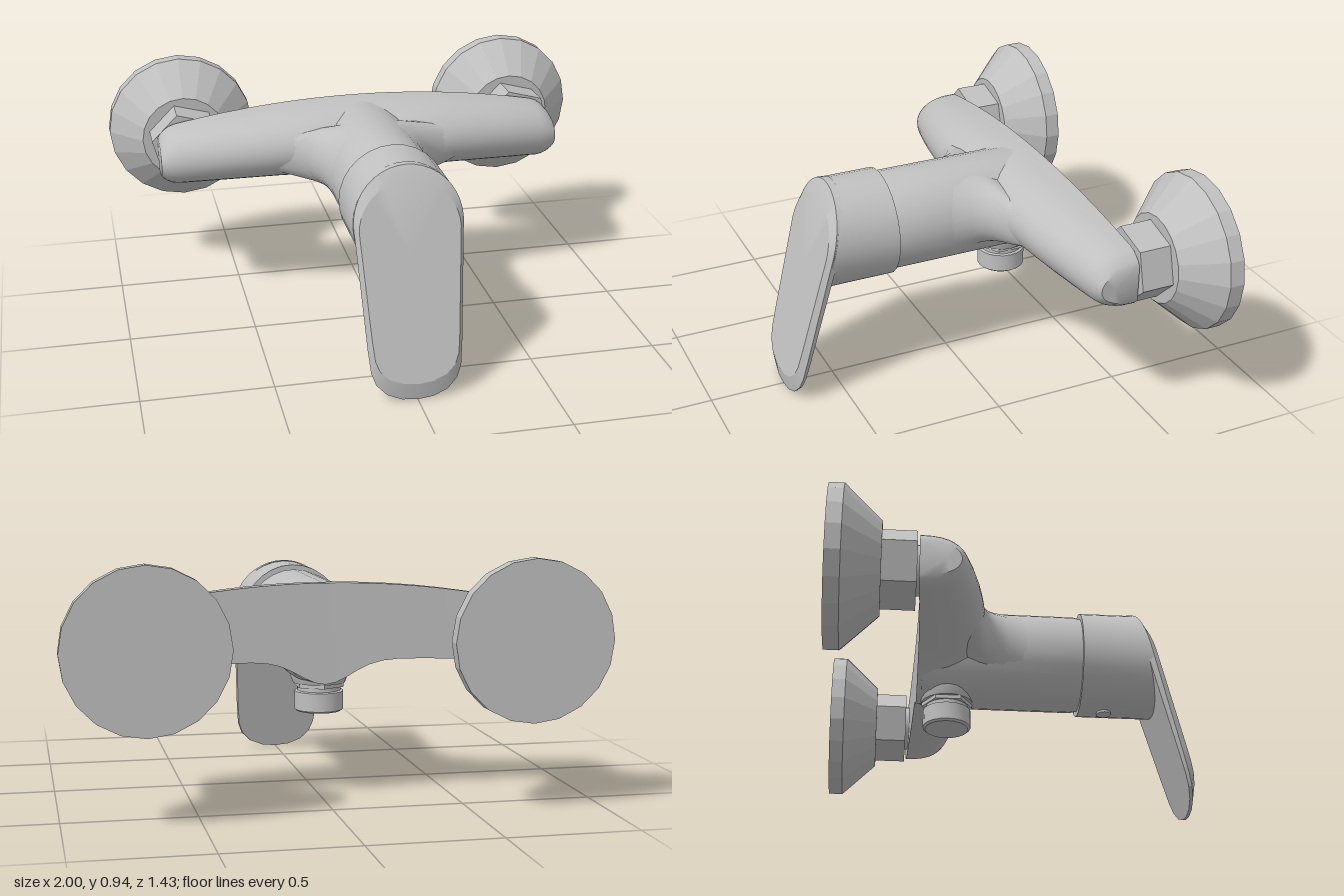
import * as THREE from 'three';
import { toCreasedNormals } from 'three/addons/utils/BufferGeometryUtils.js';

const chrome = new THREE.MeshStandardMaterial({ color: 0xc0c0c0 });
chrome.name = 'satin chrome';

// Skin over rings of points that run counter-clockwise about the direction of travel
function loft(rings, crease = 0.6) {
  const n = rings[0].length, pos = [], idx = [];
  rings.forEach(r => r.forEach(p => pos.push(...p)));
  for (let i = 0; i < rings.length - 1; i++)
    for (let j = 0; j < n; j++) {
      const a = i * n + j, b = i * n + (j + 1) % n;
      idx.push(a, b, b + n, a, b + n, a + n);
    }
  [0, rings.length - 1].forEach((k, end) => {
    const c = pos.length / 3;
    for (let m = 0; m < 3; m++) pos.push(rings[k].reduce((s, p) => s + p[m], 0) / n);
    for (let j = 0; j < n; j++) {
      const a = k * n + j, b = k * n + (j + 1) % n;
      if (end) idx.push(c, a, b); else idx.push(c, b, a);
    }
  });
  const g = new THREE.BufferGeometry();
  g.setAttribute('position', new THREE.Float32BufferAttribute(pos, 3));
  g.setIndex(idx);
  return toCreasedNormals(g, crease);
}

// Elliptical ring across z; z may depend on height
function ring(rx, ry, cy, z, n = 28) {
  return Array.from({ length: n }, (_, i) => {
    const t = i / n * Math.PI * 2, y = cy + ry * Math.sin(t);
    return [rx * Math.cos(t), y, typeof z === 'function' ? z(y) : z];
  });
}

// Closed turned part; profile is [radius, height] from bottom to top
function turned(profile, sides, crease = 0.25) {
  const pts = [[0, profile[0][1]], ...profile, [0, profile[profile.length - 1][1]]];
  const g = new THREE.LatheGeometry(pts.map(p => new THREE.Vector2(...p)), sides);
  return toCreasedNormals(g, crease);
}

// D-shaped section of the bar at x: flat at the back, round at the front
function barSection(x) {
  const a = Math.abs(x);
  const k = a > 0.75 ? Math.sqrt(Math.max(0, 1 - ((a - 0.75) / 0.08) ** 2)) : 1;
  const top = 0.835 - 0.14 * x * x;
  const bottom = 0.548 - 0.04 * x * x - 0.095 * Math.exp(-((x / 0.14) ** 2));
  const mid = (top + bottom) / 2, h = (top - bottom) / 2 * (0.3 + 0.7 * k);
  const back = -0.368 - 0.03 * x * x;
  const depth = (-0.10 - 0.19 * x * x - back) * (0.88 + 0.12 * k);
  return Array.from({ length: 19 }, (_, i) => {
    const t = Math.PI / 2 - i / 18 * Math.PI;
    return [x, mid + h * Math.sin(t), back + depth * Math.max(0, Math.cos(t)) ** 0.75];
  });
}

// Lever outline: round top, tapering sides, softly rounded foot
function leverOutline() {
  const half = [[0, 0.004], [0.06, 0.01], [0.115, 0.032], [0.153, 0.07], [0.17, 0.115], [0.178, 0.2]];
  for (let i = 0; i <= 10; i++) {
    const t = i / 10 * Math.PI / 2;
    half.push([0.205 * Math.cos(t), 0.645 + 0.205 * Math.sin(t)]);
  }
  half[half.length - 1][0] = 0;
  return [...half, ...half.slice(1, -1).reverse().map(([x, y]) => [-x, y])];
}

export function createModel() {
  const model = new THREE.Group();
  model.name = 'wallMixerTap';
  const add = (name, geometry, parent = model) => {
    const m = new THREE.Mesh(geometry, chrome);
    m.name = name;
    parent.add(m);
    return m;
  };

  // Crossbar
  const xs = [0.82, 0.81, 0.795, 0.775, 0.75, 0.65, 0.55, 0.45, 0.36, 0.28, 0.22, 0.17, 0.12, 0.08, 0.04];
  const stations = [...xs.map(x => -x), 0, ...xs.slice().reverse()];
  add('crossbar', loft(stations.map(barSection), 0.7));

  // Cartridge neck and its fillet into the crossbar
  add('neck', loft([
    ring(0.185, 0.182, 0.638, -0.35), ring(0.195, 0.193, 0.638, -0.3),
    ring(0.195, 0.193, 0.638, 0.25), ring(0.188, 0.186, 0.638, 0.285),
  ], 0.4));
  add('neckFillet', loft([
    [0.5, 0.105, 0.668, -0.19], [0.4, 0.125, 0.668, -0.145], [0.32, 0.14, 0.666, -0.122],
    [0.265, 0.152, 0.662, -0.098], [0.23, 0.163, 0.656, -0.065],
    [0.209, 0.175, 0.648, -0.02], [0.197, 0.186, 0.64, 0.04], [0.19, 0.188, 0.638, 0.1],
  ].map(r => ring(...r))));

  // Handle cap, cut on the slope of the lever
  add('handleCap', loft([
    ring(0.207, 0.209, 0.639, 0.278), ring(0.207, 0.209, 0.639, y => 0.71 - 0.265 * y),
  ], 0.4));
  const screw = add('screwPlug', new THREE.CylinderGeometry(0.03, 0.03, 0.02, 12));
  screw.position.set(0, 0.434, 0.38);

  // Lever plate with a bevelled front
  const outline = leverOutline();
  add('lever', loft([
    outline.map(([x, y]) => [x * 0.98, y, 0.695 - 0.272 * y]),
    outline.map(([x, y]) => [x, y, 0.706 - 0.251 * y]),
    outline.map(([x, y]) => [x * 0.92, 0.07 + y * 0.86, 0.735 - 0.265 * (0.07 + y * 0.86)]),
  ], 0.35));

  // Shower outlet underneath
  const outlet = new THREE.Group();
  outlet.name = 'outlet';
  outlet.position.z = -0.245;
  model.add(outlet);
  add('outletBoss', turned([[0.1, 0.445], [0.112, 0.475], [0.118, 0.53]], 24, 0.5), outlet);
  add('outletCollar', turned([[0.1, 0.43], [0.1, 0.447]], 6), outlet);
  add('outletSpout', turned([
    [0.085, 0.335], [0.094, 0.342], [0.094, 0.412], [0.083, 0.415], [0.083, 0.435],
  ], 20, 0.5), outlet);

  // Wall connections, one on each side
  for (const s of [1, -1]) {
    const wall = new THREE.Group();
    wall.name = s > 0 ? 'leftWallConnection' : 'rightWallConnection';
    wall.position.set(0.7 * s, 0.643, 0);
    wall.rotation.x = Math.PI / 2;
    model.add(wall);
    add('wallFlange', turned([[0.3, -0.717], [0.3, -0.66], [0.172, -0.522]], 20, 0.1), wall);
    add('hexNut', turned([[0.148, -0.53], [0.148, -0.396]], 6), wall).rotation.y = Math.PI / 12;
    add('connectorPipe', turned([[0.093, -0.41], [0.093, -0.33]], 16, 0.5), wall);
  }
  return model;
}
